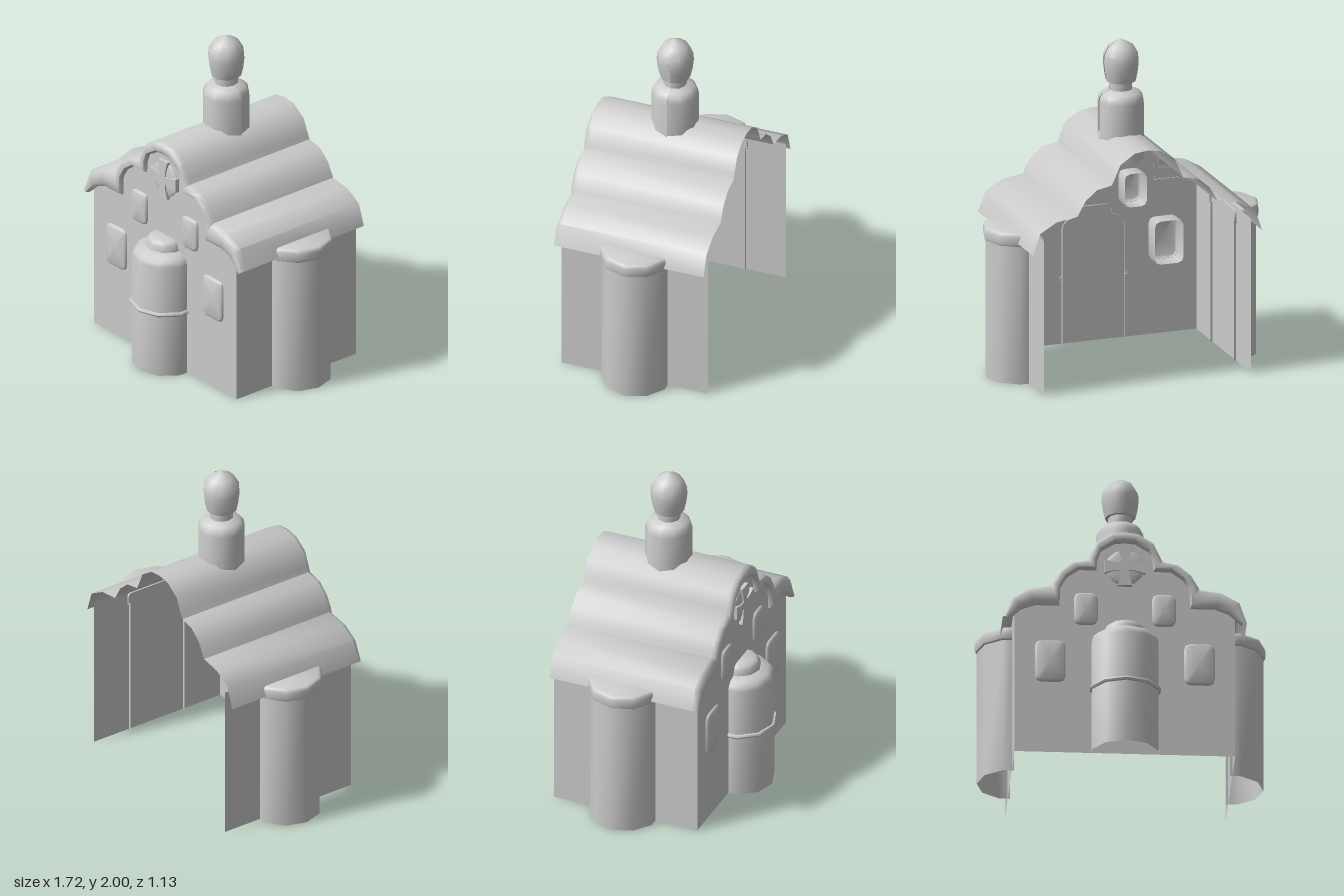
import * as THREE from 'three';
import { toCreasedNormals } from 'three/addons/utils/BufferGeometryUtils.js';

const material = new THREE.MeshStandardMaterial({ color: 0xcccccc, side: THREE.DoubleSide });

function part(name, geometry, parent) {
  const mesh = new THREE.Mesh(geometry, material);
  mesh.name = name;
  parent.add(mesh);
  return mesh;
}

// Skin a grid of points: rows of equal length joined by quads
function skin(rows, crease = 0.75) {
  const n = rows[0].length;
  const index = [];
  for (let i = 0; i < rows.length - 1; i++) {
    for (let j = 0; j < n - 1; j++) {
      const a = i * n + j, b = a + 1, c = a + n, d = c + 1;
      index.push(a, b, d, a, d, c);
    }
  }
  const g = new THREE.BufferGeometry();
  g.setAttribute('position', new THREE.Float32BufferAttribute(rows.flat(2), 3));
  g.setIndex(index);
  return toCreasedNormals(g, crease);
}

// Turn a [radius, height] profile through a list of angles (0 faces +z)
function turn(profile, degrees) {
  return skin(profile.map(([r, y]) => degrees.map((deg) => {
    const a = THREE.MathUtils.degToRad(deg);
    const k = Math.abs(deg) === 90 ? Math.cos(Math.PI / 10) : 1; // cut edge of the ten-sided round
    return [r * k * Math.sin(a), y, r * k * Math.cos(a)];
  })));
}
const HALF = [-90, -72, -36, 0, 36, 72, 90];
const FULL = Array.from({ length: 11 }, (_, i) => 90 + i * 36);

// Rounded rectangle outline, closed
function windowOutline(w, h, r, inset) {
  const pts = [];
  for (const [sx, sy, start] of [[1, 1, 0], [-1, 1, 90], [-1, -1, 180], [1, -1, 270]]) {
    for (const step of [0, 45, 90]) {
      const a = THREE.MathUtils.degToRad(start + step);
      pts.push([sx * (w / 2 - r) + (r - inset) * Math.cos(a), sy * (h / 2 - r) + (r - inset) * Math.sin(a)]);
    }
  }
  pts.push(pts[0]);
  return pts;
}

// Gable edge, right half from the ridge: [outer x, outer y, inner x, inner y]
const GABLE = [
  [0.08, 1.43, 0.06, 1.36], [0.17, 1.37, 0.14, 1.31], [0.21, 1.28, 0.163, 1.25],
  [0.225, 1.25, 0.167, 1.185], [0.32, 1.23, 0.27, 1.185], [0.39, 1.17, 0.34, 1.135],
  [0.43, 1.1, 0.38, 1.07], [0.44, 1.08, 0.385, 0.95], [0.57, 1.06, 0.53, 0.95],
  [0.675, 1.0, 0.61, 0.92], [0.72, 0.87, 0.69, 0.85],
];
const BACK = -0.56, FRONT = 0.36;

export function createModel() {
  const model = new THREE.Group();
  model.name = 'chapel';

  // Roof sheet with the rounded moulding on its front edge
  const edge = [
    ...GABLE.map(([a, b, c, d]) => [-a, b, -c, d]).reverse(),
    [0, 1.44, 0, 1.365],
    ...GABLE,
  ];
  const section = [[0, 0.355], [0.02, 0.372], [0.2, 0.387], [0.55, 0.39], [0.85, 0.38], [1, 0.355], [1, BACK]];
  part('roof', skin(edge.map(([ox, oy, ix, iy]) =>
    section.map(([t, z]) => [ix + (ox - ix) * t, iy + (oy - iy) * t, z]))), model);

  // Front wall under the moulding, open behind each window
  const windows = [];
  for (const s of [-1, 1]) {
    windows.push({ name: 'lowerWindow', x: s * 0.44, y: 0.588, w: 0.18, h: 0.265 });
    windows.push({ name: 'upperWindow', x: s * 0.23, y: 0.932, w: 0.14, h: 0.205 });
  }
  const inner = edge.map(([ox, oy, ix, iy]) => [(ox + ix) / 2, (oy + iy) / 2]).filter(([x]) => Math.abs(x) < 0.6);
  const wall = new THREE.Shape(
    [[0.65, 0], [0.65, 0.95], ...inner.reverse(), [-0.65, 0.95], [-0.65, 0]].map(([x, y]) => new THREE.Vector2(x, y)));
  for (const { x, y, w, h } of windows) {
    wall.holes.push(new THREE.Path(windowOutline(w, h, 0.035, 0.002).slice(0, -1)
      .map(([px, py]) => new THREE.Vector2(x + px, y + py))));
  }
  part('frontWall', new THREE.ShapeGeometry(wall), model).position.z = FRONT;

  // Window boxes: raised, softened face and a deep sleeve open to the inside
  for (const { name, x, y, w, h } of windows) {
    const rows = [[0, 0.25], [0, 0.366], [0.005, 0.373], [0.014, 0.377]].map(([inset, z]) =>
      windowOutline(w, h, 0.035, inset).map(([px, py]) => [px, py, z]));
    rows.push(rows[0].map(() => [0, 0, 0.377]));
    part(name, skin(rows), model).position.set(x, y, 0);
  }

  // Side walls and the half-round side towers
  for (const s of [-1, 1]) {
    const side = part('sideWall', new THREE.PlaneGeometry(FRONT - BACK, 0.95), model);
    side.rotation.y = s * Math.PI / 2;
    side.position.set(s * 0.65, 0.475, (FRONT + BACK) / 2);

    const tower = new THREE.Group();
    tower.name = 'sideTower';
    tower.position.set(s * 0.637, 0, -0.108);
    tower.rotation.y = s * Math.PI / 2;
    part('sideTowerWall', turn([[0.208, 0], [0.208, 0.86]], HALF), tower);
    part('sideTowerCap', turn([[0.206, 0.845], [0.217, 0.852], [0.221, 0.87], [0.221, 0.905],
      [0.215, 0.922], [0.2, 0.93], [0, 0.93]], HALF), tower);
    model.add(tower);
  }

  // Half-round porch with a stepped dome and a band
  const porch = new THREE.Group();
  porch.name = 'porch';
  porch.position.z = 0.35;
  part('porchBody', turn([[0.206, 0], [0.206, 0.71], [0.198, 0.735], [0.175, 0.758], [0.125, 0.772],
    [0.12, 0.8], [0.11, 0.822], [0.088, 0.835], [0, 0.835]], HALF), porch);
  part('porchBand', turn([[0.204, 0.39], [0.217, 0.392], [0.222, 0.402], [0.217, 0.413], [0.204, 0.415]], HALF), porch);
  model.add(porch);

  // Turret with its bulb
  const turret = new THREE.Group();
  turret.name = 'turret';
  turret.position.z = -0.108;
  part('turretDrum', turn([[0.141, 1.27], [0.141, 1.62], [0.135, 1.65], [0.115, 1.675], [0.07, 1.692],
    [0.07, 1.745]], FULL), turret);
  part('turretBulb', turn([[0, 1.742], [0.09, 1.742], [0.103, 1.8], [0.11, 1.86], [0.107, 1.905],
    [0.075, 1.96], [0.035, 1.983], [0, 2]], FULL), turret);
  model.add(turret);

  // Gable ornament: shallow boss behind a flared cross
  const ornament = new THREE.Group();
  ornament.name = 'gableOrnament';
  ornament.position.set(0, 1.207, FRONT);
  const boss = part('roundBoss', new THREE.SphereGeometry(0.115, 12, 6, 0, Math.PI * 2, 0, Math.PI / 2), ornament);
  boss.rotation.x = Math.PI / 2;
  boss.scale.y = 0.15;
  const arm = new THREE.Shape([[-0.022, 0], [0.022, 0], [0.026, 0.06], [0.043, 0.122], [-0.043, 0.122], [-0.026, 0.06]]
    .map(([x, y]) => new THREE.Vector2(x, y)));
  for (let i = 0; i < 4; i++) {
    part('crossArm', new THREE.ExtrudeGeometry(arm, { depth: 0.024, bevelEnabled: false }), ornament)
      .rotation.z = i * Math.PI / 2;
  }
  model.add(ornament);

  return model;
}
